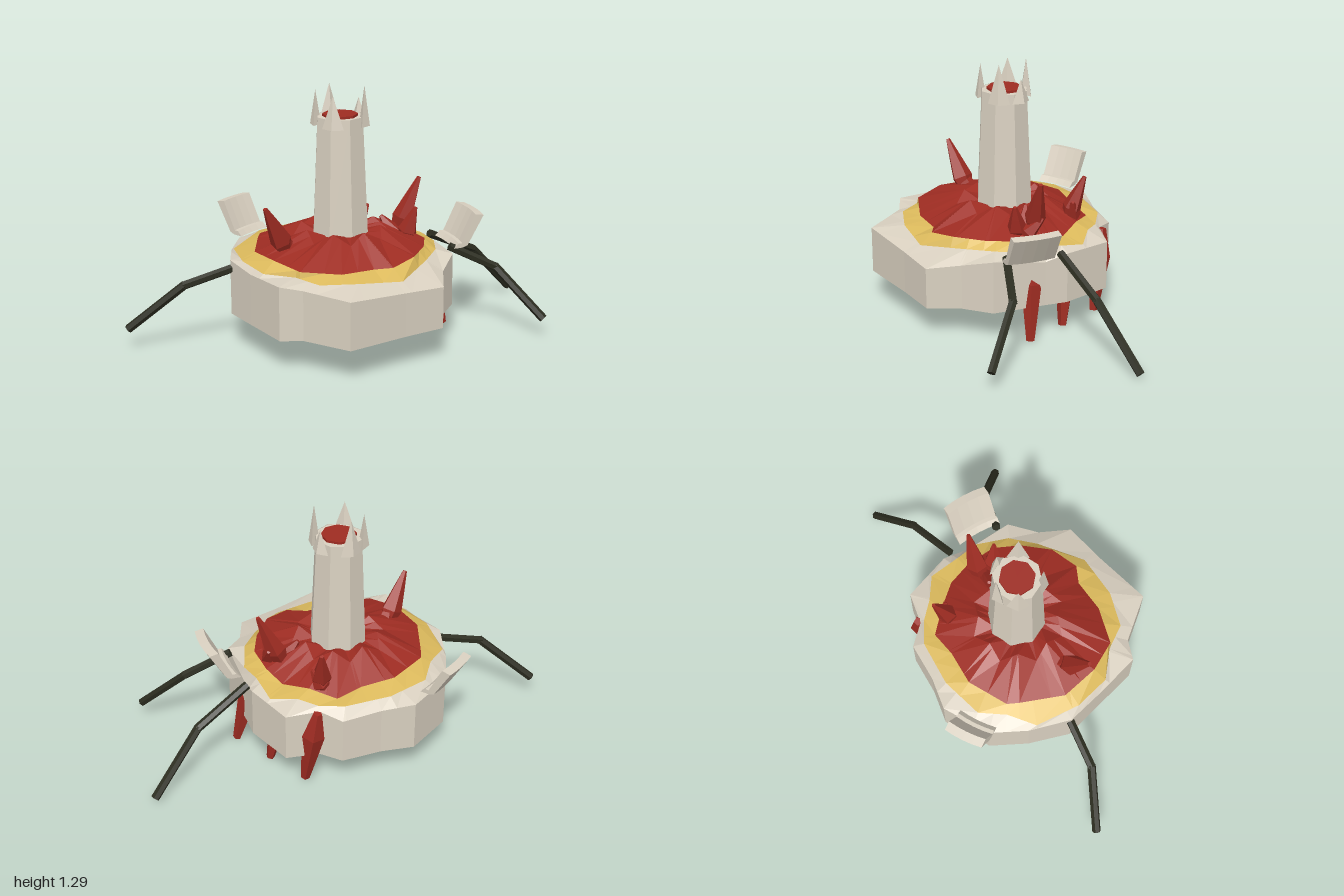
import * as THREE from 'three';

const CX = -0.1, CZ = -0.05; // centre of the island

export function createModel() {
  const root = new THREE.Group();
  const mat = (name, color) => {
    const m = new THREE.MeshStandardMaterial({ color, flatShading: true, side: THREE.DoubleSide });
    m.name = name;
    return m;
  };
  const stone = mat('pale stone', 0xd9d0c0), gold = mat('gold', 0xdcba5c);
  const red = mat('crimson', 0x9e2c22), dark = mat('dark metal', 0x2c2d20);
  const add = (name, geo, material, parent = root) => {
    const mesh = new THREE.Mesh(geo, material);
    mesh.name = name;
    parent.add(mesh);
    return mesh;
  };
  const V = (p) => new THREE.Vector3(...p);

  // Point where a closed outline of [x, z, y] crosses a given direction from the centre
  const sample = (ring, angle) => {
    const c = Math.cos(angle), s = Math.sin(angle);
    for (let i = 0; i < ring.length; i++) {
      const a = ring[i], b = ring[(i + 1) % ring.length];
      const ca = c * (a[1] - CZ) - s * (a[0] - CX), cb = c * (b[1] - CZ) - s * (b[0] - CX);
      if (Math.abs(ca - cb) < 1e-9) continue;
      const t = ca / (ca - cb);
      if (t < -1e-6 || t > 1 + 1e-6) continue;
      const p = a.map((v, k) => v + (b[k] - v) * t);
      if (c * (p[0] - CX) + s * (p[1] - CZ) > 0) return [p[0], p[2], p[1]];
    }
    return [CX, 0.5, CZ];
  };
  // Band of faces joining two outlines
  const band = (outer, inner) => {
    const angles = [...outer, ...inner].map((p) => Math.atan2(p[1] - CZ, p[0] - CX)).sort((a, b) => a - b)
      .filter((a, i, all) => i === 0 || a - all[i - 1] > 1e-4);
    const pos = [];
    angles.forEach((a, i) => {
      const n = angles[(i + 1) % angles.length];
      const o1 = sample(outer, a), o2 = sample(outer, n), i1 = sample(inner, a), i2 = sample(inner, n);
      pos.push(...o1, ...i1, ...o2, ...i1, ...i2, ...o2);
    });
    const g = new THREE.BufferGeometry();
    g.setAttribute('position', new THREE.Float32BufferAttribute(pos, 3));
    g.computeVertexNormals();
    return g;
  };

  // Island outlines, from the stone rim inward
  const rim = [
    [-0.29, -0.6, 0.43], [-0.03, -0.62, 0.43], [0.11, -0.52, 0.42], [0.29, -0.43, 0.41], [0.325, -0.31, 0.43],
    [0.46, -0.21, 0.42], [0.425, 0.05, 0.43], [0.37, 0.15, 0.4], [0.25, 0.39, 0.44], [0.1, 0.455, 0.4],
    [-0.03, 0.57, 0.38], [-0.24, 0.515, 0.39], [-0.55, 0.45, 0.41], [-0.61, 0.2, 0.42], [-0.69, 0.12, 0.44],
    [-0.64, -0.13, 0.43], [-0.6, -0.32, 0.45], [-0.45, -0.48, 0.43]];
  const goldEdge = [
    [-0.19, -0.55, 0.46], [0.03, -0.51, 0.46], [0.24, -0.4, 0.46], [0.315, -0.29, 0.45], [0.35, -0.19, 0.46],
    [0.42, -0.07, 0.44], [0.36, 0.08, 0.46], [0.325, 0.2, 0.45], [0.2, 0.32, 0.46], [0.06, 0.38, 0.45],
    [-0.19, 0.45, 0.42], [-0.4, 0.36, 0.44], [-0.54, 0.24, 0.44], [-0.56, 0.1, 0.45], [-0.63, -0.05, 0.45],
    [-0.59, -0.24, 0.46], [-0.47, -0.44, 0.45], [-0.32, -0.48, 0.47]];
  const redEdge = [
    [-0.29, -0.44, 0.49], [-0.07, -0.45, 0.49], [0.09, -0.37, 0.48], [0.22, -0.33, 0.46], [0.27, -0.19, 0.48],
    [0.31, -0.05, 0.46], [0.29, 0.08, 0.48], [0.23, 0.22, 0.49], [0.12, 0.31, 0.49], [-0.03, 0.38, 0.49],
    [-0.18, 0.38, 0.47], [-0.24, 0.31, 0.46], [-0.4, 0.25, 0.46], [-0.55, 0.12, 0.48], [-0.56, -0.05, 0.5],
    [-0.51, -0.24, 0.49], [-0.34, -0.4, 0.49]];
  const circle = (n, f) => Array.from({ length: n }, (_, i) => {
    const a = ((i + 0.5) / n) * Math.PI * 2, [r, y] = f(i);
    return [CX + r * Math.cos(a), CZ + r * Math.sin(a), y];
  });
  const crater = circle(16, (i) => (i % 2 ? [0.24, 0.54] : [0.2, 0.585]));
  const towerFoot = circle(8, () => [0.13, 0.55]);

  add('rimWall', band(rim.map(([x, z]) => [x, z, 0.17]), rim), stone);
  add('rimTop', band(rim, goldEdge), stone);
  add('goldShore', band(goldEdge, redEdge), gold);
  add('redGround', band(redEdge, crater), red);
  add('craterLip', band(crater, towerFoot), red);

  // Tower with a pointed crown
  const tower = new THREE.Group();
  tower.name = 'tower';
  tower.position.set(CX + 0.005, 0, CZ - 0.005);
  root.add(tower);
  const shaft = new THREE.CylinderGeometry(0.12, 0.148, 0.63, 8, 1, true);
  shaft.rotateY(Math.PI / 8);
  shaft.translate(0, 0.82, 0);
  add('towerShaft', shaft, stone, tower);
  add('towerCore', new THREE.CylinderGeometry(0.088, 0.088, 0.05, 8), red, tower).position.y = 1.12;
  const ledge = new THREE.RingGeometry(0.08, 0.12, 8);
  ledge.rotateX(-Math.PI / 2).rotateY(Math.PI / 8);
  add('towerLedge', ledge, stone, tower).position.y = 1.133;
  // Each spike: x, z and height of its tip
  [[0.06, 0.1, 1.29], [0.045, -0.125, 1.275], [-0.06, -0.085, 1.26], [-0.085, 0.045, 1.255], [0.115, 0.01, 1.21]]
    .forEach(([x, z, top]) => {
      const a = Math.atan2(x, z), h = top - 1.09;
      const g = new THREE.ConeGeometry(0.055, h, 4);
      g.scale(1, 1, 0.5).translate(0, h / 2, 0);
      const spike = add('crownSpike', g, stone, tower);
      spike.position.set(0.122 * Math.sin(a), 1.09, 0.122 * Math.cos(a));
      spike.rotation.y = a;
    });

  // Faceted crystals, thickest a third of the way along; tip is the relative width of the far end
  const crystal = (name, tip, from, to, r) => {
    const a = V(from), d = V(to).sub(a), len = d.length();
    const profile = [[0, 0], [0.4, 0], [1, 0.34], [0.5 + tip / 2, 0.68], [tip, 1], [0, 1]];
    const g = new THREE.LatheGeometry(profile.map(([x, y]) => new THREE.Vector2(x * r, y * len)), 5);
    const m = add(name, g, red);
    m.position.copy(a);
    m.quaternion.setFromUnitVectors(new THREE.Vector3(0, 1, 0), d.normalize());
  };
  [
    [[-0.4, 0.46, -0.11], [-0.555, 0.745, -0.11], 0.055],
    [[-0.37, 0.46, -0.13], [-0.47, 0.61, -0.09], 0.045],
    [[0.19, 0.46, 0.05], [0.305, 0.775, 0.115], 0.055],
    [[0.17, 0.46, 0.13], [0.2, 0.65, 0.185], 0.05],
    [[0.18, 0.46, 0.09], [0.12, 0.59, 0.02], 0.05],
    [[0.2, 0.47, 0.14], [0.28, 0.58, 0.07], 0.045],
    [[0.19, 0.45, -0.2], [0.26, 0.7, -0.265], 0.05],
    [[0.2, 0.45, -0.24], [0.25, 0.58, -0.19], 0.045],
  ].forEach((c) => crystal('groundCrystal', 0.2, ...c));
  [
    [[0.34, 0.43, -0.31], [0.355, 0.004, -0.24], 0.058],
    [[0.32, 0.42, -0.07], [0.355, 0.004, 0], 0.055],
    [[0.29, 0.42, 0.16], [0.355, 0.004, 0.24], 0.052],
  ].forEach((c) => crystal('hangingCrystal', 0.4, ...c));

  // Bent dark legs made of jointed rods
  [
    [[-0.58, 0.41, -0.31], [-0.8, 0.34, -0.44], [-0.98, 0.11, -0.655]],
    [[0.42, 0.44, 0.093], [0.7, 0.305, 0.155], [0.985, 0.03, 0.175]],
    [[0.29, 0.455, 0.34], [0.47, 0.34, 0.49], [0.56, 0.1, 0.73]],
  ].forEach((path) => {
    const leg = new THREE.Group();
    leg.name = 'bentLeg';
    root.add(leg);
    for (let i = 0; i < 2; i++) {
      const a = V(path[i]), b = V(path[i + 1]), d = b.clone().sub(a);
      const rod = add('legRod', new THREE.CylinderGeometry(0.022, 0.022, d.length() + 0.012, 6), dark, leg);
      rod.position.copy(a).add(b).multiplyScalar(0.5);
      rod.quaternion.setFromUnitVectors(new THREE.Vector3(0, 1, 0), d.normalize());
    }
  });

  // Leaning stone plates with a small foot; the profile leans along local +x
  const plate = (x, z, yaw, width) => {
    const s = new THREE.Shape([[0, 0.45], [0.025, 0.475], [0.045, 0.475], [0.115, 0.62], [0.16, 0.612], [0.075, 0.462], [0.05, 0.452]]
      .map((p) => new THREE.Vector2(...p)));
    const g = new THREE.ExtrudeGeometry(s, { depth: width, bevelEnabled: false, steps: 4 });
    g.translate(0, 0, -width / 2);
    const p = g.attributes.position;
    for (let i = 0; i < p.count; i++) p.setX(i, p.getX(i) - 0.8 * p.getZ(i) ** 2); // gentle curve
    g.computeVertexNormals();
    const m = add('leaningPlate', g, stone);
    m.position.set(x, 0, z);
    m.rotation.y = yaw;
  };
  plate(0.35, 0.265, -0.46, 0.24);
  plate(-0.21, -0.58, Math.PI / 2 + 0.12, 0.2);

  return root;
}
